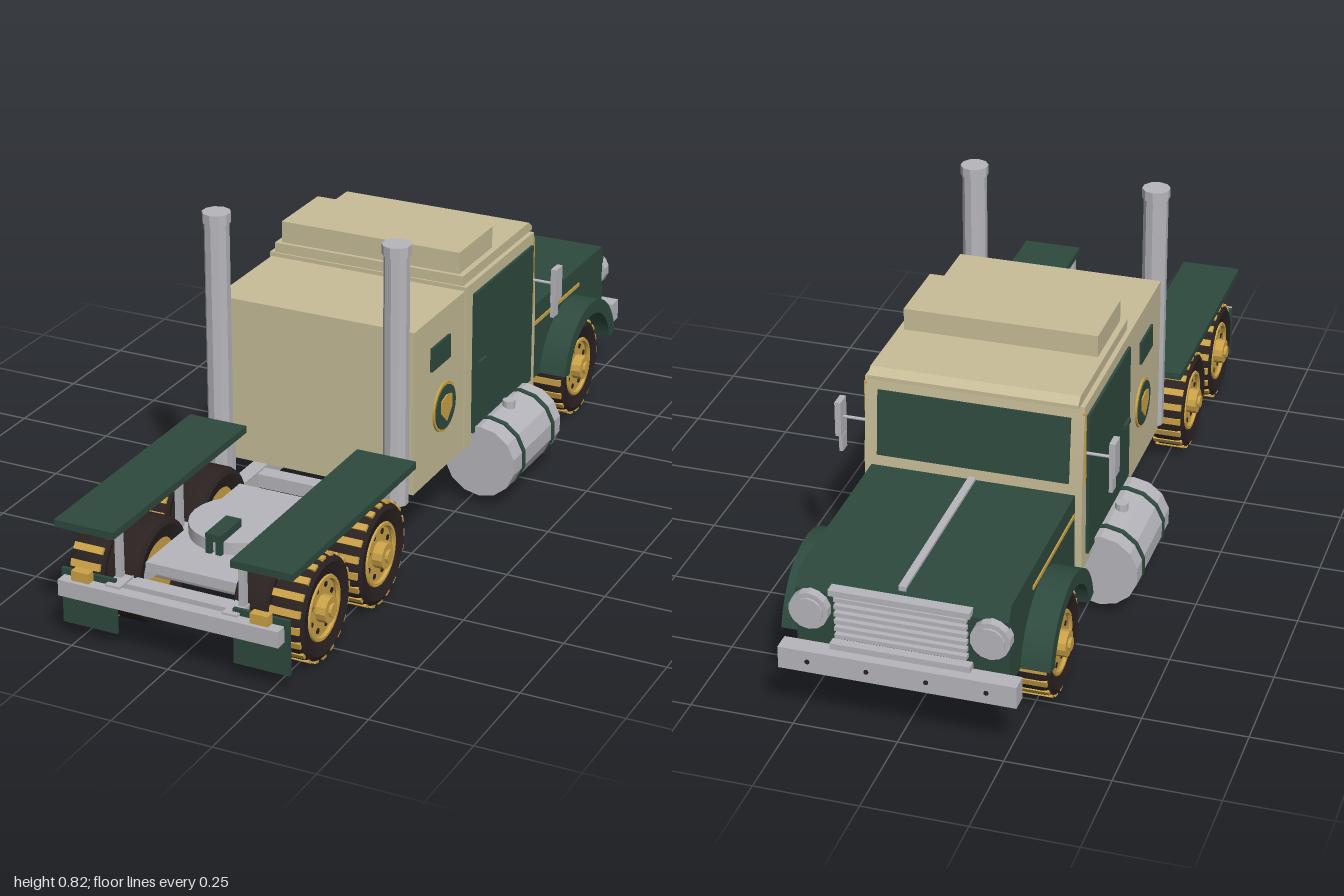
import * as THREE from 'three';
import { toCreasedNormals } from 'three/addons/utils/BufferGeometryUtils.js';

const mat = (name, color) => Object.assign(new THREE.MeshStandardMaterial({ color }), { name });

export function createModel() {
  const cream = mat('cream paint', 0xc8bd98);
  const green = mat('dark green paint', 0x2e4a3e);
  const silver = mat('silver metal', 0xb6b6bc);
  const gold = mat('gold', 0xcca348);
  const rubber = mat('tyre rubber', 0x2b2121);
  const root = new THREE.Group();
  root.name = 'truck';

  const add = (name, geo, material, parent = root) => {
    const mesh = new THREE.Mesh(toCreasedNormals(geo, 0.4), material);
    mesh.name = name;
    parent.add(mesh);
    return mesh;
  };
  // box given by its min and max on each axis
  const box = (name, m, x0, x1, y0, y1, z0, z1, parent) => {
    const g = new THREE.BoxGeometry(Math.abs(x1 - x0), y1 - y0, z1 - z0);
    g.translate((x0 + x1) / 2, (y0 + y1) / 2, (z0 + z1) / 2);
    return add(name, g, m, parent);
  };
  // cylinder along an axis
  const cyl = (name, m, axis, r, len, x, y, z, sides = 12, parent = root) => {
    const g = new THREE.CylinderGeometry(r, r, len, sides);
    if (axis === 'x') g.rotateZ(Math.PI / 2);
    if (axis === 'z') g.rotateX(Math.PI / 2);
    g.translate(x, y, z);
    return add(name, g, m, parent);
  };
  // side outline, drawn as (-z, y), extruded from x0 to x1
  const sideExtrude = (name, m, shape, x0, x1) => {
    const g = new THREE.ExtrudeGeometry(shape, { depth: x1 - x0, bevelEnabled: false, curveSegments: 16 });
    g.translate(0, 0, x0).rotateY(Math.PI / 2);
    return add(name, g, m);
  };
  const poly = pts => new THREE.Shape(pts.map(p => new THREE.Vector2(p[0], p[1])));

  // Cab, sleeper and roof
  box('sleeper', cream, -0.262, 0.262, 0.17, 0.59, -0.015, 0.27);
  sideExtrude('cab', cream, poly([[0.015, 0.17], [0.445, 0.17], [0.445, 0.39], [0.425, 0.6], [0.015, 0.6]]), -0.267, 0.267);
  sideExtrude('roof', cream, poly([[0.02, 0.6], [0.44, 0.6], [0.44, 0.61], [0.42, 0.625], [0.02, 0.625]]), -0.255, 0.255);
  box('roofBox', cream, -0.24, 0.24, 0.62, 0.68, -0.225, -0.03);
  const shield = box('windshield', green, -0.235, 0.235, -0.083, 0.083, -0.004, 0.004);
  shield.position.set(0, 0.487, -0.437);
  shield.rotation.x = Math.atan(0.02 / 0.21);

  // Hood with front grille
  sideExtrude('hood', green, poly([[0.44, 0.17], [0.95, 0.17], [0.955, 0.34], [0.94, 0.375], [0.44, 0.375]]), -0.25, 0.25);
  box('hoodStrip', silver, -0.009, 0.009, 0.37, 0.382, -0.945, -0.445);
  box('grilleTop', silver, -0.165, 0.165, 0.345, 0.36, -0.975, -0.945);
  box('grilleBottom', silver, -0.165, 0.165, 0.205, 0.22, -0.975, -0.945);
  for (let i = 0; i < 6; i++) {
    const y = 0.232 + i * 0.019;
    box('grilleBar', silver, -0.155, 0.155, y, y + 0.01, -0.968, -0.95);
  }
  box('bumper', silver, -0.28, 0.28, 0.15, 0.205, -1, -0.955);
  for (const x of [-0.21, -0.07, 0.07, 0.21]) cyl('bumperBolt', rubber, 'z', 0.006, 0.004, x, 0.178, -1, 8);

  // Chassis
  for (const z of [-0.9, -0.45, 0.3, 0.93]) box('crossMember', silver, -0.14, 0.14, 0.13, 0.165, z - 0.02, z + 0.02);
  box('rearBar', silver, -0.28, 0.28, 0.125, 0.165, 0.97, 1);
  for (const z of [-0.69, 0.51, 0.8]) cyl('axle', silver, 'x', 0.022, 0.44, 0, 0.135, z, 10);

  // Trailer coupling
  box('couplingPlate', silver, -0.12, 0.12, 0.165, 0.19, 0.43, 0.88);
  cyl('couplingDisc', silver, 'y', 0.12, 0.03, 0, 0.205, 0.65, 24);
  box('couplingJawTop', green, -0.02, 0.02, 0.222, 0.24, 0.68, 0.78);
  for (const s of [-1, 1]) box('couplingJawSide', green, s * 0.006, s * 0.02, 0.19, 0.225, 0.68, 0.78);

  // Tyre with optional gold tread bars and rim; s points outward
  const wheel = (s, x, z, outer) => {
    const g = new THREE.Group();
    g.name = outer ? 'wheel' : 'innerWheel';
    const profile = [[0.078, -0.036], [0.11, -0.044], [0.121, -0.038], [0.125, -0.026],
      [0.125, 0.026], [0.121, 0.038], [0.11, 0.044], [0.078, 0.036], [0.078, -0.036]];
    add('tyre', new THREE.LatheGeometry(profile.map(p => new THREE.Vector2(...p)), 32).rotateZ(-Math.PI / 2), rubber, g);
    cyl('rim', gold, 'x', 0.079, 0.06, 0, 0, 0, 24, g);
    if (outer) {
      for (let i = 0; i < 20; i++) {
        const bar = new THREE.BoxGeometry(0.076, 0.008, 0.017);
        bar.translate(0, 0.1235, 0).rotateX(i * Math.PI / 10);
        add('treadBar', bar, gold, g);
      }
      add('rimRing', new THREE.TorusGeometry(0.073, 0.007, 6, 24).rotateY(Math.PI / 2).translate(s * 0.034, 0, 0), gold, g);
      cyl('hub', gold, 'x', 0.032, 0.03, s * 0.04, 0, 0, 12, g);
      cyl('hubCap', gold, 'x', 0.016, 0.012, s * 0.056, 0, 0, 10, g);
      for (let i = 0; i < 8; i++) {
        const a = i * Math.PI / 4 + 0.39;
        cyl('rimHole', rubber, 'x', 0.007, 0.004, s * 0.03, 0.054 * Math.sin(a), 0.054 * Math.cos(a), 8, g);
      }
    }
    g.position.set(s * x, 0.131, z);
    root.add(g);
  };

  for (const s of [-1, 1]) {
    wheel(s, 0.255, -0.69, true);
    for (const z of [0.51, 0.8]) {
      wheel(s, 0.255, z, true);
      wheel(s, 0.164, z, false);
    }
    box('frameRail', silver, s * 0.13, s * 0.168, 0.125, 0.17, -0.95, 0.98);

    // Front fender arch
    const arch = new THREE.Shape();
    arch.absarc(0.7, 0.135, 0.178, 0.2, Math.PI - 0.2, false);
    arch.absarc(0.7, 0.135, 0.142, Math.PI - 0.2, 0.2, true);
    sideExtrude('frontFender', green, arch, s > 0 ? 0.2 : -0.32, s > 0 ? 0.32 : -0.2);
    box('hoodStripe', gold, s * 0.248, s * 0.253, 0.32, 0.33, -0.78, -0.455);
    cyl('headlight', silver, 'z', 0.047, 0.03, s * 0.212, 0.298, -0.962, 14);
    cyl('headlightLens', silver, 'z', 0.035, 0.008, s * 0.212, 0.298, -0.979, 14);

    // Door, pillar trim and mirror
    box('door', green, s * 0.26, s * 0.274, 0.2, 0.57, -0.41, -0.052);
    box('doorHandle', green, s * 0.274, s * 0.282, 0.375, 0.386, -0.11, -0.07);
    box('pillarTrim', gold, s * 0.262, s * 0.27, 0.4, 0.585, -0.427, -0.421);
    cyl('mirrorArm', silver, 'x', 0.004, 0.07, s * 0.3, 0.475, -0.415, 8);
    box('mirror', silver, s * 0.328, s * 0.343, 0.43, 0.52, -0.435, -0.395);
    box('lowerMirror', silver, s * 0.327, s * 0.336, 0.388, 0.43, -0.43, -0.4);

    // Sleeper window and round badge
    box('sleeperWindow', green, s * 0.26, s * 0.268, 0.455, 0.515, 0.075, 0.18);
    cyl('badgeRim', gold, 'x', 0.063, 0.006, s * 0.264, 0.335, 0.103, 24);
    cyl('badgeDisc', green, 'x', 0.056, 0.008, s * 0.266, 0.335, 0.103, 24);
    const plate = poly([[-0.133, 0.36], [-0.133, 0.327], [-0.103, 0.298], [-0.073, 0.327], [-0.073, 0.36], [-0.103, 0.368]]);
    sideExtrude('badgePlate', gold, plate, s > 0 ? 0.268 : -0.273, s > 0 ? 0.273 : -0.268);

    // Exhaust stack
    cyl('exhaustStack', silver, 'y', 0.031, 0.64, s * 0.235, 0.485, 0.31, 10);
    cyl('exhaustCap', silver, 'y', 0.035, 0.025, s * 0.235, 0.811, 0.31, 10);

    // Fuel tank with straps
    cyl('fuelTank', silver, 'z', 0.094, 0.295, s * 0.288, 0.123, -0.208, 14);
    for (const z of [-0.12, -0.305]) cyl('tankStrap', green, 'z', 0.0975, 0.014, s * 0.288, 0.123, z, 14);
    cyl('tankCap', silver, 'y', 0.016, 0.03, s * 0.3, 0.217, -0.21, 10);

    // Rear deck, mud flap and lamp
    box('rearFender', green, s * 0.148, s * 0.302, 0.28, 0.298, 0.34, 0.97);
    for (const z of [0.4, 0.655, 0.93]) box('fenderPost', silver, s * 0.15, s * 0.165, 0.16, 0.285, z - 0.008, z + 0.008);
    box('mudFlap', green, s * 0.15, s * 0.29, 0.04, 0.178, 0.957, 0.966);
    box('rearLamp', gold, s * 0.205, s * 0.25, 0.164, 0.19, 0.968, 0.99);
  }
  return root;
}
